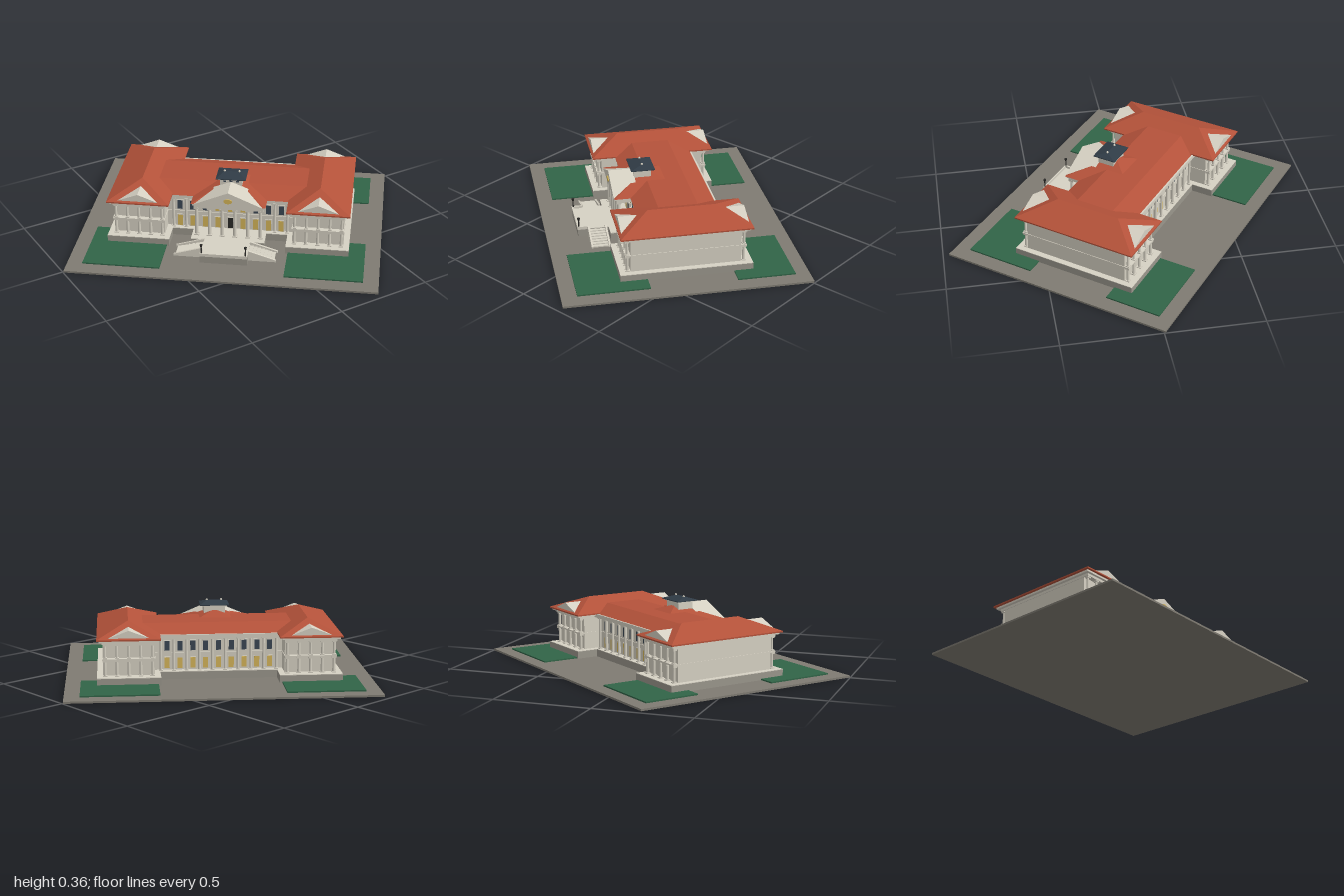
import * as THREE from 'three';

const mat = (name, color) => {
  const m = new THREE.MeshStandardMaterial({ color });
  m.name = name;
  return m;
};

export function createModel() {
  const stone = mat('pale stone', 0xd6d1c3);
  const plinth = mat('grey plinth', 0x9a968c);
  const paving = mat('paving', 0x7f7b72);
  const grass = mat('grass', 0x316447);
  const tile = mat('red tile', 0xb4523a);
  const slate = mat('slate', 0x303c46);
  const glass = mat('window glass', 0x3b4754);
  const gold = mat('warm yellow', 0xd6b65a);
  const iron = mat('dark iron', 0x2b2a28);

  const model = new THREE.Group();
  const estate = new THREE.Group();
  estate.name = 'estate';
  estate.rotation.y = -0.6632; // the whole site stands at an angle
  model.add(estate);

  const add = (name, geo, material) => {
    const m = new THREE.Mesh(geo, material);
    m.name = name;
    estate.add(m);
    return m;
  };
  // box given by its limits
  const box = (name, material, x0, x1, y0, y1, z0, z1) => {
    const m = add(name, new THREE.BoxGeometry(x1 - x0, y1 - y0, z1 - z0), material);
    m.position.set((x0 + x1) / 2, (y0 + y1) / 2, (z0 + z1) / 2);
    return m;
  };
  // hipped roof: a rectangle that narrows to a smaller one, ridge or flat top
  const hip = (name, material, x0, x1, z0, z1, y0, y1, ix, iz) => {
    const ring = (a, b, c, d, y) => [[a, y, d], [b, y, d], [b, y, c], [a, y, c]];
    const lo = ring(x0, x1, z0, z1, y0);
    const hi = ring(x0 + ix, x1 - ix, z0 + iz, z1 - iz, y1);
    const pos = [];
    const quad = (a, b, c, d) => pos.push(...a, ...b, ...c, ...a, ...c, ...d);
    for (let i = 0; i < 4; i++) {
      const j = (i + 1) % 4;
      // start on the wide edge so that ridge ends keep one whole triangle
      quad(lo[i], lo[j], hi[j], hi[i]);
    }
    quad(...hi);
    quad(lo[3], lo[2], lo[1], lo[0]);
    const g = new THREE.BufferGeometry();
    g.setAttribute('position', new THREE.Float32BufferAttribute(pos, 3));
    g.computeVertexNormals();
    return add(name, g, material);
  };
  // triangular pediment running back into the roof; dir is +1 front, -1 back
  const pediment = (name, x, half, y0, y1, z, depth, dir) => {
    const s = new THREE.Shape();
    s.moveTo(-half, 0);
    s.lineTo(half, 0);
    s.lineTo(0, y1 - y0);
    const g = new THREE.ExtrudeGeometry(s, { depth, bevelEnabled: false });
    add(name, g, stone).position.set(x, y0, dir > 0 ? z - depth : z);
  };
  const column = (name, x, z, y0, y1, r) => {
    const h = y1 - y0;
    add(name, new THREE.CylinderGeometry(r * 0.85, r, h, 10), stone).position.set(x, y0 + h / 2, z);
    box(name + 'Base', stone, x - r * 1.4, x + r * 1.4, y0, y0 + 0.006, z - r * 1.4, z + r * 1.4);
    box(name + 'Capital', stone, x - r * 1.4, x + r * 1.4, y1 - 0.008, y1, z - r * 1.4, z + r * 1.4);
  };
  const pane = (name, material, x, y0, y1, z, w = 0.026) => {
    box(name + 'Frame', stone, x - w / 2 - 0.004, x + w / 2 + 0.004, y0 - 0.003, y1 + 0.004, z - 0.003, z + 0.003);
    box(name, material, x - w / 2, x + w / 2, y0, y1, z - 0.004, z + 0.004);
  };

  // Grounds
  box('ground', paving, -0.783, 0.783, 0, 0.01, -0.619, 0.619);
  for (const s of [-1, 1]) {
    const [a, b] = s < 0 ? [-0.705, -0.312] : [0.312, 0.705];
    box('frontLawn', grass, a, b, 0.009, 0.017, 0.18, 0.54);
    box('backLawn', grass, a, b, 0.009, 0.017, -0.546, -0.255);
  }

  // Main block
  box('mainPlinth', plinth, -0.32, 0.32, 0.005, 0.048, -0.235, 0.195);
  box('mainLedge', stone, -0.32, 0.32, 0.048, 0.051, -0.235, 0.195);
  box('mainWalls', stone, -0.36, 0.36, 0.05, 0.235, -0.195, 0.165);
  box('mainBand', stone, -0.36, 0.36, 0.134, 0.142, -0.2, 0.17);
  box('mainCornice', stone, -0.36, 0.36, 0.222, 0.242, -0.234, 0.182);
  hip('mainRoof', tile, -0.46, 0.46, -0.225, 0.19, 0.242, 0.281, 0.06, 0.107);

  // Wings with columned ends
  for (const s of [-1, 1]) {
    const span = (a, b) => (s < 0 ? [-b, -a] : [a, b]);
    const cx = s * 0.461;
    box('wingPlinth', plinth, ...span(0.3, 0.622), 0.005, 0.048, -0.352, 0.315);
    box('wingLedge', stone, ...span(0.3, 0.622), 0.048, 0.051, -0.352, 0.315);
    box('wingWalls', stone, ...span(0.33, 0.592), 0.05, 0.235, -0.295, 0.26);
    box('wingBand', stone, ...span(0.327, 0.595), 0.134, 0.142, -0.322, 0.287);
    box('wingFrieze', stone, ...span(0.327, 0.595), 0.216, 0.235, -0.322, 0.287);
    box('wingCornice', stone, ...span(0.312, 0.61), 0.229, 0.241, -0.338, 0.3);
    box('wingEave', tile, ...span(0.3, 0.622), 0.239, 0.246, -0.35, 0.312);
    hip('wingRoof', tile, ...span(0.3, 0.622), -0.35, 0.312, 0.246, 0.312, 0.161, 0.161);
    for (const d of [1, -1]) {
      const zc = d > 0 ? 0.275 : -0.31;
      pediment('wingPediment', cx, 0.122, 0.244, 0.29, d > 0 ? 0.3 : -0.338, 0.12, d);
      for (let i = 0; i < 5; i++) {
        const x = cx - 0.12 + i * 0.06;
        column('wingLowerColumn', x, zc, 0.05, 0.135, 0.008);
        column('wingUpperColumn', x, zc, 0.142, 0.217, 0.007);
      }
    }
  }

  // Portico
  box('porticoPlinth', plinth, -0.19, 0.19, 0.005, 0.048, 0.18, 0.295);
  box('porticoFloor', stone, -0.19, 0.19, 0.048, 0.052, 0.18, 0.295);
  box('porticoFrieze', stone, -0.178, 0.178, 0.214, 0.236, 0.15, 0.26);
  box('porticoCornice', stone, -0.186, 0.186, 0.232, 0.243, 0.15, 0.268);
  hip('porticoRoof', tile, -0.192, 0.192, -0.12, 0.272, 0.242, 0.311, 0.192, 0.192);
  pediment('porticoPediment', 0, 0.176, 0.242, 0.317, 0.274, 0.13, 1);
  for (let i = 0; i < 6; i++) column('porticoColumn', -0.165 + i * 0.066, 0.247, 0.052, 0.215, 0.0095);
  const plate = add('gableOrnament', new THREE.CylinderGeometry(1, 1, 0.006, 20), gold);
  plate.rotation.x = Math.PI / 2;
  plate.scale.set(0.022, 1, 0.013);
  plate.position.set(0, 0.27, 0.276);

  // Front and back windows
  for (let i = -4; i <= 4; i++) {
    const x = i * 0.066;
    const inner = Math.abs(i) < 2;
    pane('lowerFrontWindow', i === 0 ? iron : gold, x, 0.055, 0.115, 0.167);
    pane('upperFrontWindow', inner ? gold : glass, x, 0.152, 0.202, 0.167);
    pane('lowerBackWindow', gold, x, 0.06, 0.115, -0.197);
    pane('upperBackWindow', glass, x, 0.152, 0.202, -0.197);
    if (Math.abs(i) > 2) column('frontWallColumn', x + Math.sign(i) * 0.033, 0.174, 0.05, 0.223, 0.007);
    if (i < 4) column('backColumn', x + 0.033, -0.215, 0.05, 0.223, 0.007);
  }
  for (const x of [-0.297, 0.297]) column('backColumn', x, -0.215, 0.05, 0.223, 0.007);

  // Terrace with side stairs
  box('terrace', plinth, -0.12, 0.12, 0.005, 0.048, 0.29, 0.455);
  box('terraceFloor', stone, -0.12, 0.12, 0.048, 0.052, 0.29, 0.458);
  for (const s of [-1, 1]) {
    const span = (a, b) => (s < 0 ? [-b, -a] : [a, b]);
    for (let i = 0; i < 7; i++) {
      const a = 0.12 + i * 0.019;
      box('sideStep', stone, ...span(a, a + 0.019), 0.005, 0.046 - i * 0.005, 0.315, 0.4);
    }
    // sloping stair walls
    for (const z of [0.305, 0.395]) {
      const shape = new THREE.Shape();
      shape.moveTo(s * 0.118, 0.005);
      shape.lineTo(s * 0.262, 0.005);
      shape.lineTo(s * 0.262, 0.02);
      shape.lineTo(s * 0.118, 0.064);
      add('stairWall', new THREE.ExtrudeGeometry(shape, { depth: 0.01, bevelEnabled: false }), stone).position.z = z;
    }
    box('terraceParapet', stone, ...span(0.11, 0.12), 0.05, 0.064, 0.405, 0.458);
    // lamps on the terrace corners
    add('lampPost', new THREE.CylinderGeometry(0.003, 0.004, 0.04, 8), iron).position.set(s * 0.112, 0.082, 0.45);
    add('lampHead', new THREE.CylinderGeometry(0.008, 0.005, 0.014, 6), iron).position.set(s * 0.112, 0.106, 0.45);
  }
  box('frontParapet', stone, -0.12, 0.12, 0.05, 0.064, 0.45, 0.458);

  // Roof lantern
  box('lanternBody', stone, -0.056, 0.056, 0.25, 0.334, 0.058, 0.147);
  box('lanternCornice', stone, -0.066, 0.066, 0.328, 0.335, 0.047, 0.158);
  for (const x of [-0.034, 0, 0.034]) pane('lanternWindow', glass, x, 0.316, 0.325, 0.147, 0.016);
  box('lanternEave', slate, -0.077, 0.077, 0.334, 0.338, 0.04, 0.165);
  hip('lanternRoof', slate, -0.077, 0.077, 0.04, 0.165, 0.338, 0.354, 0.039, 0.0625);
  for (const x of [-0.038, 0.038])
    add('finial', new THREE.SphereGeometry(0.006, 10, 8), stone).position.set(x, 0.356, 0.1025);

  return model;
}
